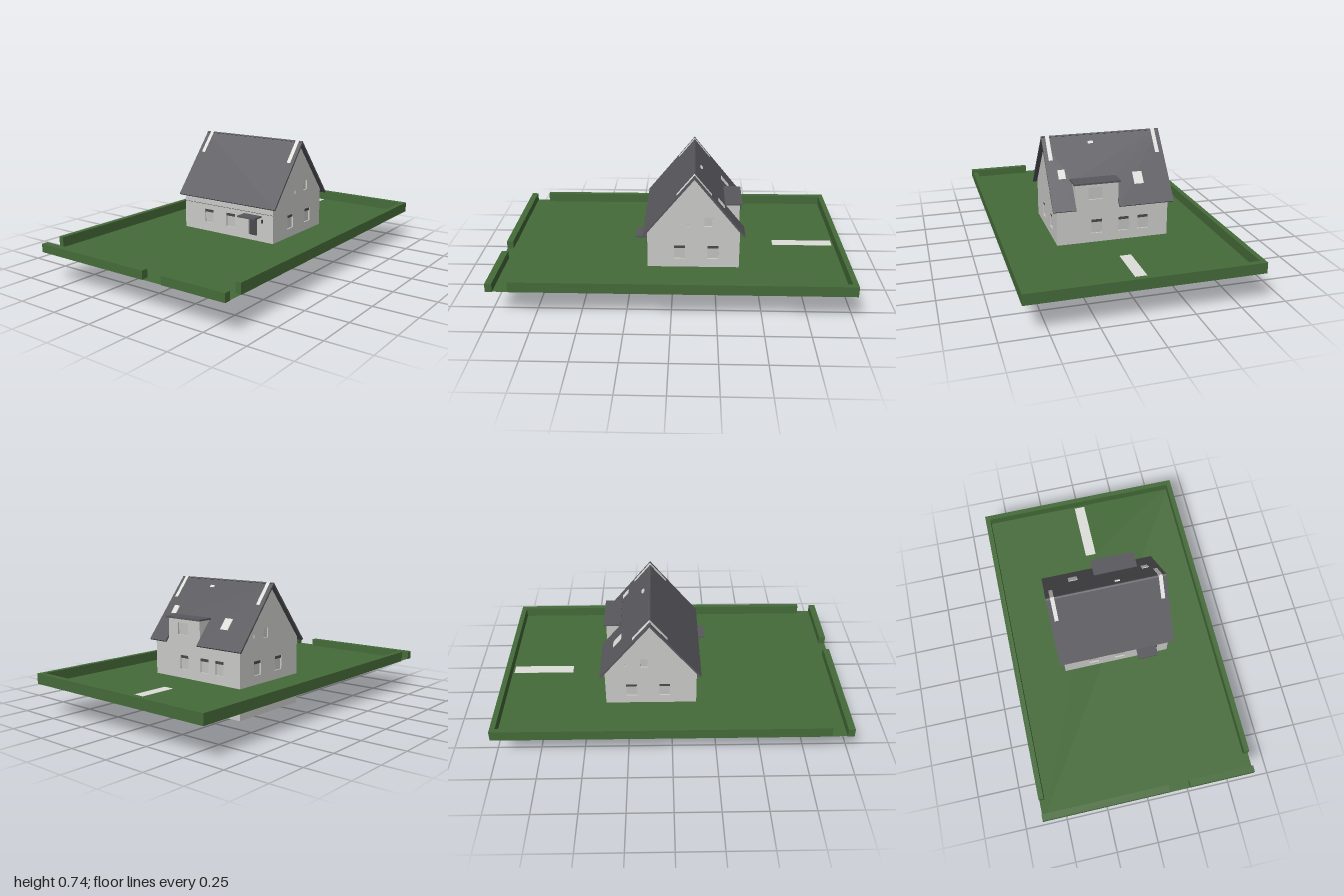
import * as THREE from 'three';

const mat = (name, color) => {
  const m = new THREE.MeshStandardMaterial({ color });
  m.name = name;
  return m;
};

export function createModel() {
  const green = mat('grassGreen', 0x456b39);
  const wallGrey = mat('wallGrey', 0xcacac8);
  const paneGrey = mat('paneGrey', 0xc2c2c1);
  const slate = mat('slateGrey', 0x59585d);
  const dark = mat('darkGrey', 0x4a4a4f);
  const pale = mat('paleGrey', 0xdededb);

  const model = new THREE.Group();
  model.name = 'houseOnLawn';

  const add = (name, geo, material, parent = model) => {
    const m = new THREE.Mesh(geo, material);
    m.name = name;
    parent.add(m);
    return m;
  };
  // box from its minimum and maximum on each axis
  const box = (name, material, x0, x1, y0, y1, z0, z1, parent = model) => {
    const m = add(name, new THREE.BoxGeometry(x1 - x0, y1 - y0, z1 - z0), material, parent);
    m.position.set((x0 + x1) / 2, (y0 + y1) / 2, (z0 + z1) / 2);
    return m;
  };
  const poly = pts => new THREE.Shape(pts.map(p => new THREE.Vector2(...p)));
  const rect = (x0, x1, y0, y1) => poly([[x0, y0], [x1, y0], [x1, y1], [x0, y1]]);
  const slab = (shape, depth) => new THREE.ExtrudeGeometry(shape, { depth, bevelEnabled: false });

  // Lawn, with a paved strip let into it
  const G = 0.178;
  const lawnShape = rect(-0.63, 0.63, -1, 1);
  lawnShape.holes.push(rect(-0.035, 0.03, 0.6, 0.96));
  green.side = THREE.DoubleSide;
  add('lawn', new THREE.ShapeGeometry(lawnShape).rotateX(-Math.PI / 2).translate(0, G, 0), green);
  box('pavedStrip', pale, -0.035, 0.03, G - 0.001, G + 0.001, -0.96, -0.6);

  // Hedges
  for (const s of [-1, 1]) {
    box('sideHedge', green, s < 0 ? -0.63 : 0.6, s < 0 ? -0.6 : 0.63, G - 0.002, 0.236, -1, 0.878);
  }
  box('backHedge', green, -0.6, 0.6, G - 0.002, 0.236, -1, -0.97);
  box('frontHedge', green, -0.63, 0.12, G - 0.002, 0.224, 0.962, 1);
  box('frontHedge', green, 0.243, 0.63, G - 0.002, 0.224, 0.962, 1);

  // House dimensions
  const X0 = -0.323, X1 = 0.32, Z0 = -0.38, Z1 = 0.142, T = 0.02;
  const RZ = -0.121, RY = 0.738, RUN = 0.288, DROP = 0.352;
  const roofY = z => RY - Math.abs(z - RZ) * DROP / RUN;
  const house = new THREE.Group();
  house.name = 'house';
  model.add(house);
  box('floorSlab', wallGrey, X0 + T, X1 - T, 0, T, Z0 + T, Z1 - T, house);

  // Wall with recessed openings: [x0, x1, y0, y1, kind], outer = +1 when local +z faces outside
  const wall = (name, outline, openings, outer) => {
    const g = new THREE.Group();
    g.name = name;
    house.add(g);
    const shape = poly(outline);
    for (const [a, b, c, d, kind] of openings) {
      shape.holes.push(rect(a, b, c, d));
      const mid = T / 2 - outer * 0.002;
      box('pane', paneGrey, a, b, c, d, mid - 0.003, mid + 0.003, g);
      const face = mid + outer * 0.005;
      if (kind === 'shutter') box('shutterBox', dark, a, b, d - 0.017, d, face - 0.004, face + 0.004, g);
      if (kind === 'door') box('doorLeaf', dark, a + 0.005, b - 0.003, c, d - 0.006, face - 0.003, face + 0.003, g);
    }
    add('wallShell', slab(shape, T), wallGrey, g);
    return g;
  };

  const win = (x, kind = 'shutter') => [x - 0.031, x + 0.031, 0.23, 0.312, kind];
  const eave = roofY(Z1) - 0.008;
  wall('frontWall', [[X0 + T, 0], [X1 - T, 0], [X1 - T, eave], [X0 + T, eave]],
    [win(-0.14), win(0.02), [0.15, 0.21, 0.207, 0.31, 'door']], 1).position.z = Z1 - T;

  // Back wall rises into the dormer
  const D0 = -0.03, D1 = 0.215, DY = 0.522;
  wall('backWall', [[X0 + T, 0], [X1 - T, 0], [X1 - T, eave], [D1, eave], [D1, DY], [D0, DY], [D0, eave], [X0 + T, eave]],
    [win(0.093), win(-0.063), win(-0.176), [0.06, 0.14, 0.43, 0.5, 'plain']], -1).position.z = Z0;

  // Gable walls, drawn in (-z, y)
  const gable = [[-Z1, 0], [-Z0, 0], [-Z0, eave], [-RZ, RY - 0.008], [-Z1, eave]];
  const lower = [win(0.04), win(0.23)];
  const gables = [
    ['leftGable', X1 - T, 1, [[0.18, 0.222, 0.432, 0.488], [0.08, 0.092, 0.428, 0.446]]],
    ['rightGable', X0, -1, [[0.135, 0.177, 0.432, 0.488], [0.255, 0.267, 0.44, 0.46]]],
  ];
  for (const [name, x, outer, upper] of gables) {
    const g = wall(name, gable, [...lower, ...upper], outer);
    g.rotation.y = Math.PI / 2;
    g.position.x = x;
  }

  // Joint line between the storeys on the front
  box('storeyJoint', dark, X0, X1, 0.342, 0.344, Z1, Z1 + 0.001, house);

  // Roof pieces: shapes in (x, distance down the slope); side +1 front, -1 back
  const len = Math.hypot(RUN, DROP), sn = DROP / len, cs = RUN / len;
  const down = z => Math.abs(z - RZ) / cs;
  const onSlope = (name, side, shape, depth, lift, material) => {
    const geo = slab(shape, depth).translate(0, 0, side > 0 ? -lift : lift - depth);
    geo.applyMatrix4(new THREE.Matrix4().makeBasis(
      new THREE.Vector3(1, 0, 0),
      new THREE.Vector3(0, -sn, side * cs),
      new THREE.Vector3(0, -side * cs, -sn)).setPosition(0, RY, RZ));
    add(name, geo, material, house);
  };
  const R0 = -0.35, R1 = 0.345, notch = down(-0.3);
  onSlope('frontRoof', 1, rect(R0, R1, 0, len), 0.01, 0, slate);
  onSlope('backRoof', -1, poly([[R0, 0], [R1, 0], [R1, len], [D1, len], [D1, notch], [D0, notch], [D0, len], [R0, len]]),
    0.01, 0, slate);

  // Pale strips across the ridge
  for (const side of [1, -1]) {
    for (const x of [-0.325, 0.3]) onSlope('ridgeStrip', side, rect(x, x + 0.023, 0, 0.152), 0.004, 0.002, pale);
  }
  // Rooflights and vent on the back slope
  onSlope('rooflight', -1, rect(-0.195, -0.14, down(-0.285), down(-0.332)), 0.006, 0.003, pale);
  onSlope('rooflight', -1, rect(0.245, 0.285, down(-0.255), down(-0.29)), 0.006, 0.003, pale);
  onSlope('roofVent', -1, rect(0.055, 0.085, down(-0.154), down(-0.164)), 0.012, 0.007, pale);

  // Dormer cheeks and flat roof
  box('dormerCheek', wallGrey, D0, D0 + T, 0.4, DY, Z0 + T, -0.3, house);
  box('dormerCheek', wallGrey, D1 - T, D1, 0.4, DY, Z0 + T, -0.3, house);
  box('dormerRoof', slate, D0 - 0.01, D1 + 0.01, DY, DY + 0.01, -0.395, -0.295, house);

  // Door canopy and lamp
  box('doorCanopy', slate, 0.12, 0.24, 0.321, 0.33, Z1, 0.212, house);
  box('doorLamp', dark, 0.243, 0.251, 0.29, 0.31, Z1, 0.15, house);

  return model;
}
